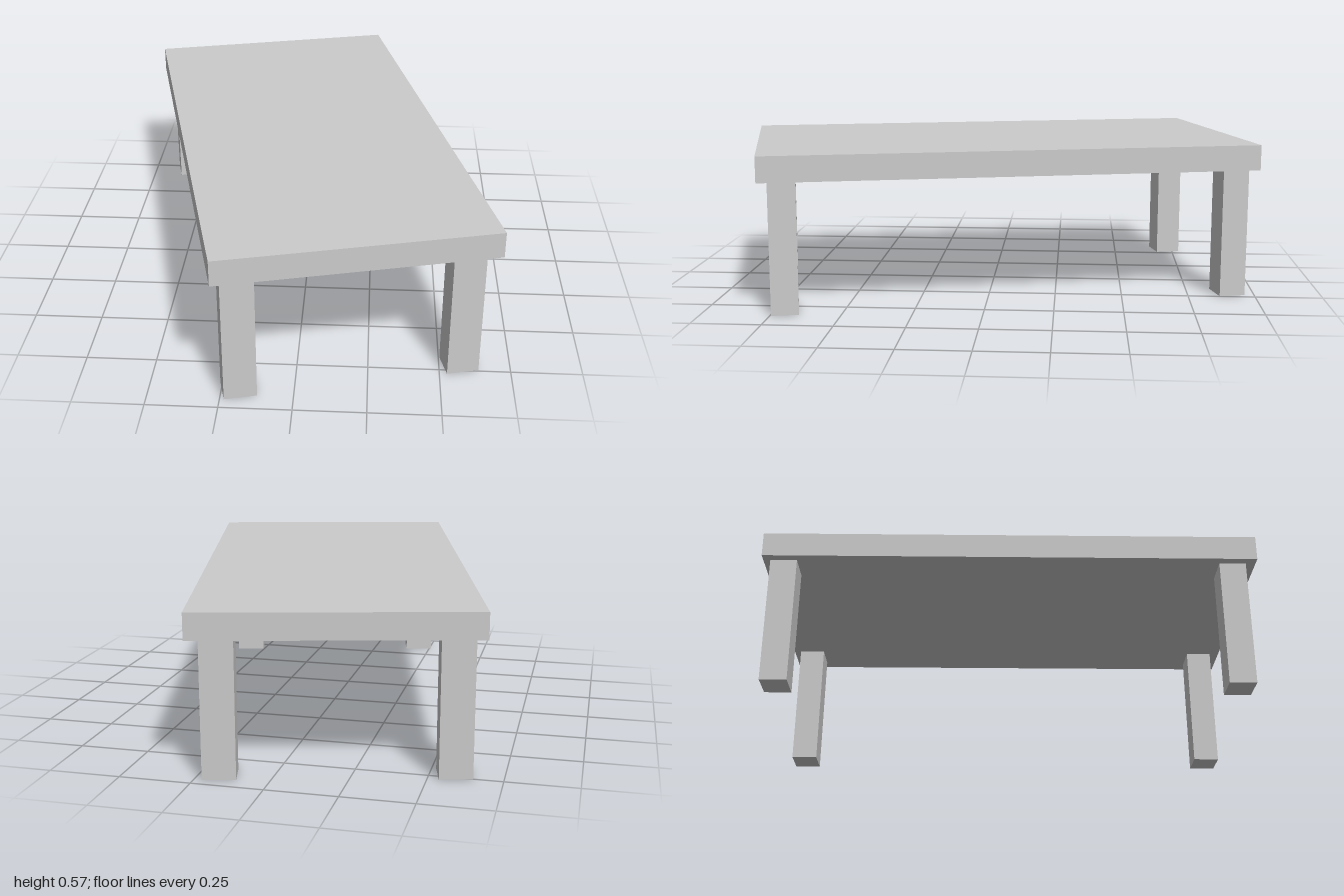
import * as THREE from 'three';

export function createModel() {
  const model = new THREE.Group();
  model.name = 'table';
  const material = new THREE.MeshStandardMaterial({ color: 0xcccccc, flatShading: true });

  const addBox = (name, w, h, d, x, y, z) => {
    const mesh = new THREE.Mesh(new THREE.BoxGeometry(w, h, d), material);
    mesh.name = name;
    mesh.position.set(x, y, z);
    table.add(mesh);
  };

  // The whole table stands turned on the floor
  const table = new THREE.Group();
  table.name = 'turnedTable';
  table.rotation.y = 0.238;
  model.add(table);

  // Thick slab top
  const legHeight = 0.482, topThickness = 0.093;
  addBox('tableTop', 0.977, topThickness, 1.82, 0, legHeight + topThickness / 2, 0);

  // Four square-cut legs, inset from the corners and slightly off centre
  for (const [side, sx] of [['Left', 1], ['Right', -1]]) {
    for (const [end, sz] of [['front', 1], ['back', -1]]) {
      addBox(`${end}${side}Leg`, 0.114, legHeight, 0.098,
        -0.005 + sx * 0.392, legHeight / 2, -0.005 + sz * 0.83);
    }
  }
  return model;
}
